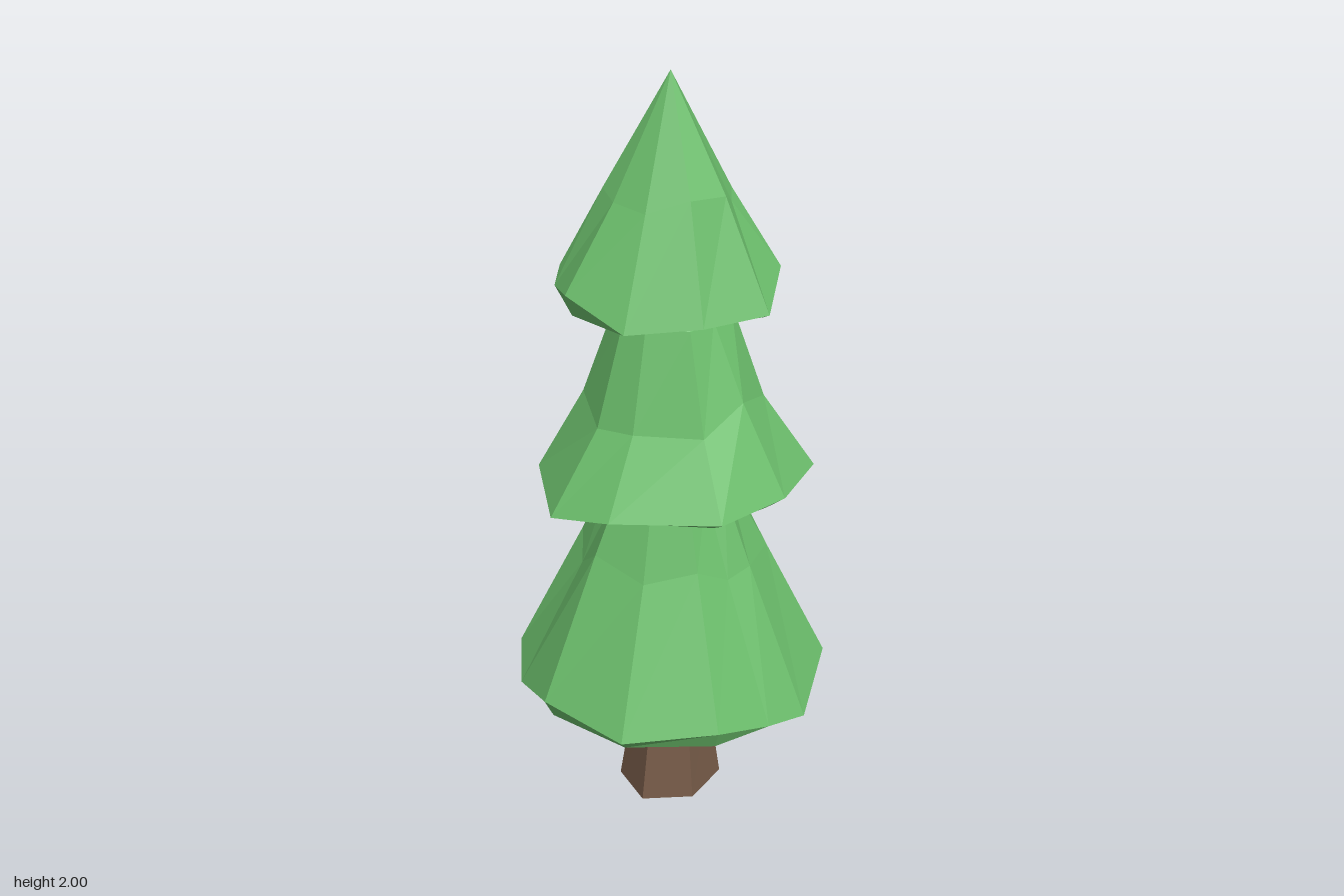
import * as THREE from 'three';

const leafMaterial = new THREE.MeshStandardMaterial({ color: 0x6bbd6b, flatShading: true });
const barkMaterial = new THREE.MeshStandardMaterial({ color: 0x755a47, flatShading: true });

// Skin a stack of equal-length rings, closed by a point below and a point above.
function loft(name, rings, bottom, top, material) {
  const pos = [];
  const tri = (a, b, c) => pos.push(...a, ...b, ...c);
  const n = rings[0].length;
  for (let i = 0; i < n; i++) {
    const j = (i + 1) % n;
    tri(rings[0][i], rings[0][j], bottom);
    for (let k = 0; k < rings.length - 1; k++) {
      const lo = rings[k], hi = rings[k + 1];
      tri(lo[j], lo[i], hi[i]);
      tri(lo[j], hi[i], hi[j]);
    }
    const last = rings[rings.length - 1];
    tri(last[j], last[i], top);
  }
  const geometry = new THREE.BufferGeometry();
  geometry.setAttribute('position', new THREE.Float32BufferAttribute(pos, 3));
  geometry.computeVertexNormals();
  const mesh = new THREE.Mesh(geometry, material);
  mesh.name = name;
  return mesh;
}

// Small seeded generator for the uneven facets, -1 to 1.
function seeded(seed) {
  let s = seed;
  return () => {
    s = (s * 16807) % 2147483647;
    return (s / 2147483647) * 2 - 1;
  };
}

// A tier: flat base with a bevel out to the uneven rim, then rings
// [y, fraction of rim radius, y jitter, z shift] up to the tip.
function tier(name, rim, base, inset, levels, tip, seed) {
  const rnd = seeded(seed);
  const rings = [rim.map(([x, y, z]) => [x * inset, Math.min(y, base), z * inset]), rim];
  for (const [y, f, jitter, dz] of levels) {
    rings.push(rim.map(([x, , z]) => {
      const g = f * (1 + rnd() * 0.06);
      return [x * g, y + rnd() * jitter, z * g + dz];
    }));
  }
  return loft(name, rings, [0, base, 0], tip, leafMaterial);
}

export function createModel() {
  const tree = new THREE.Group();
  tree.name = 'pineTree';

  // Trunk: six sides, tapering with a slight kink
  const foot = [[-0.145, 0.02], [-0.075, -0.1], [0.06, -0.11], [0.14, 0], [0.065, 0.125], [-0.075, 0.14]];
  const trunkRing = (y, sx, sz, dx) => foot.map(([x, z]) => [x * sx + dx, y, z * sz]);
  tree.add(loft('trunk', [
    trunkRing(0, 1, 1, 0),
    trunkRing(0.25, 0.74, 0.76, 0.002),
    trunkRing(0.45, 0.56, 0.53, 0.018),
  ], [0, 0, 0.01], [0.015, 0.5, 0], barkMaterial));

  // Lower tier
  tree.add(tier('lowerFoliage', [
    [0.105, 0.365, -0.425], [0.347, 0.375, -0.265], [0.42, 0.43, 0.01], [0.36, 0.368, 0.24],
    [0.265, 0.385, 0.315], [0.135, 0.42, 0.405], [-0.11, 0.395, 0.42], [-0.32, 0.42, 0.278],
    [-0.405, 0.37, 0.115], [-0.42, 0.425, -0.015], [-0.36, 0.38, -0.22], [-0.245, 0.41, -0.325],
    [-0.125, 0.37, -0.382],
  ], 0.367, 0.94, [[0.77, 0.58, 0.05, 0.01], [0.97, 0.37, 0.02, 0.025]], [0, 1.1, 0.01], 11));

  // Middle tier
  tree.add(tier('middleFoliage', [
    [0.105, 0.975, -0.33], [0.3, 0.965, -0.185], [0.372, 0.99, 0], [0.29, 0.995, 0.21],
    [0.135, 0.985, 0.345], [-0.14, 0.975, 0.325], [-0.29, 0.945, 0.24], [-0.35, 0.965, -0.02],
    [-0.28, 0.95, -0.2], [-0.145, 0.99, -0.32], [-0.03, 0.965, -0.357],
  ], 0.953, 0.85, [[1.2, 0.64, 0.05, 0.005], [1.42, 0.39, 0.02, 0.01]], [0, 1.56, 0.01], 29));

  // Upper tier with the pointed tip
  tree.add(tier('upperFoliage', [
    [0.09, 1.46, -0.265], [0.255, 1.465, -0.14], [0.27, 1.52, -0.02], [0.24, 1.455, 0.16],
    [0.085, 1.445, 0.235], [-0.1, 1.44, 0.27], [-0.245, 1.5, 0.165], [-0.285, 1.48, 0.03],
    [-0.275, 1.52, -0.01], [-0.24, 1.47, -0.19], [-0.05, 1.485, -0.295],
  ], 1.447, 0.94, [[1.7, 0.57, 0.03, 0.008]], [0, 2, 0.02], 47));

  return tree;
}
